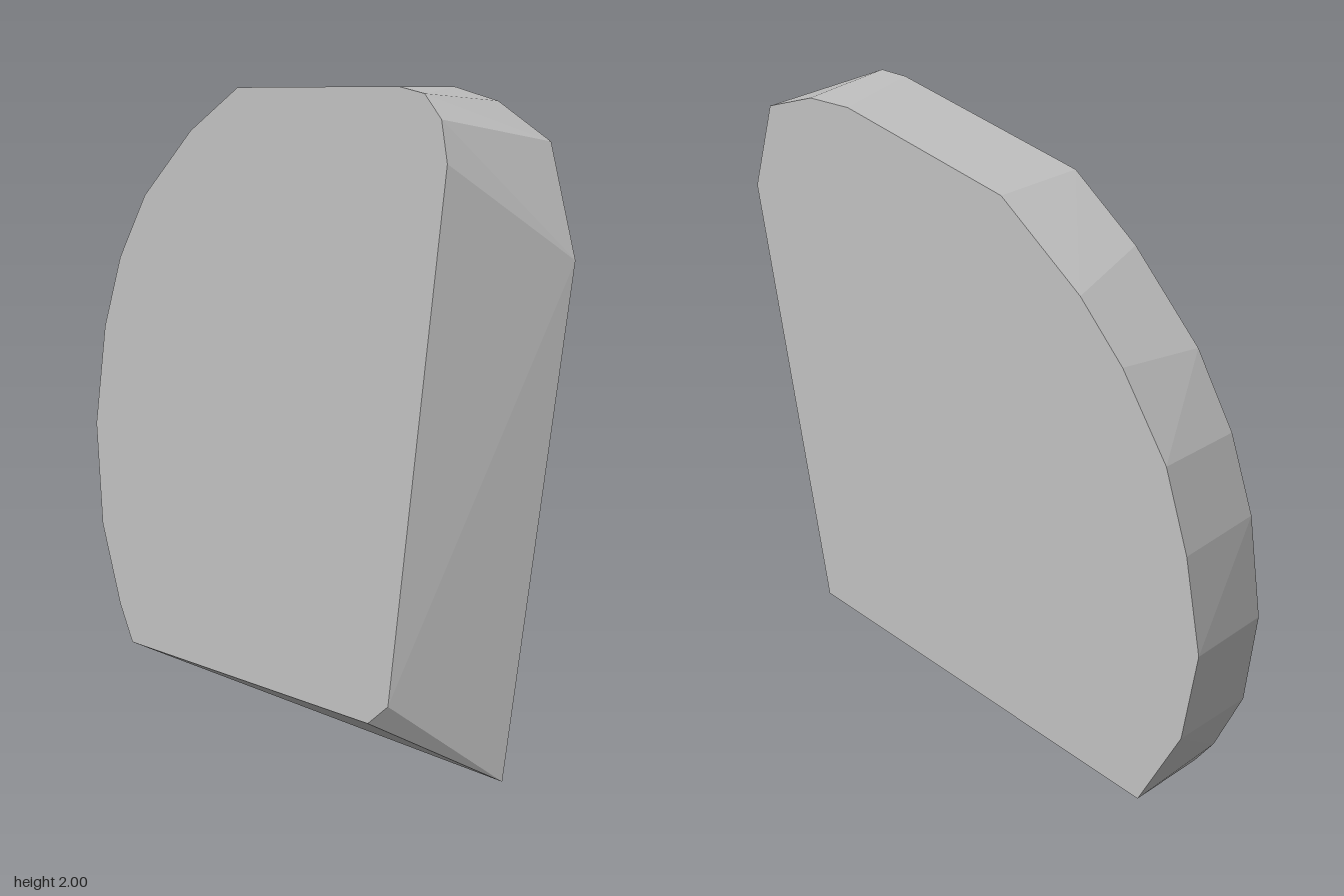
import * as THREE from 'three';
import { ConvexGeometry } from 'three/addons/geometries/ConvexGeometry.js';

// Outlines of the two flat faces as [z, y]
const leftOutline = [
  [0.74, 0], [1, 1.53], [0.9, 1.85], [0.69, 1.96], [0.51, 2], [-0.16, 2],
  [-0.48, 1.83], [-0.65, 1.685], [-0.83, 1.455], [-0.925, 1.2], [-0.995, 0.88],
  [-0.95, 0.53], [-0.79, 0.16],
];
const rightOutline = [
  [0.43, 0.15], [0.52, 0.22], [0.755, 1.79], [0.73, 1.91], [0.66, 1.98], [0.55, 2],
  [-0.19, 2], [-0.435, 1.867], [-0.69, 1.657], [-0.835, 1.45], [-0.93, 1.215],
  [-0.99, 0.88], [-0.96, 0.54], [-0.86, 0.28], [-0.79, 0.16],
];

export function createModel() {
  const group = new THREE.Group();
  const stoneGray = new THREE.MeshStandardMaterial({ color: 0xc0c0c0 });
  stoneGray.name = 'stone gray';

  // Faceted slab spanning the two outlines, with the front and bottom slanting inwards
  const at = (outline, x) => outline.map(([z, y]) => new THREE.Vector3(x, y, z));
  const points = [...at(leftOutline, 0.125), ...at(rightOutline, -0.125)];
  const slab = new THREE.Mesh(new ConvexGeometry(points), stoneGray);
  slab.name = 'slab';
  group.add(slab);
  return group;
}
